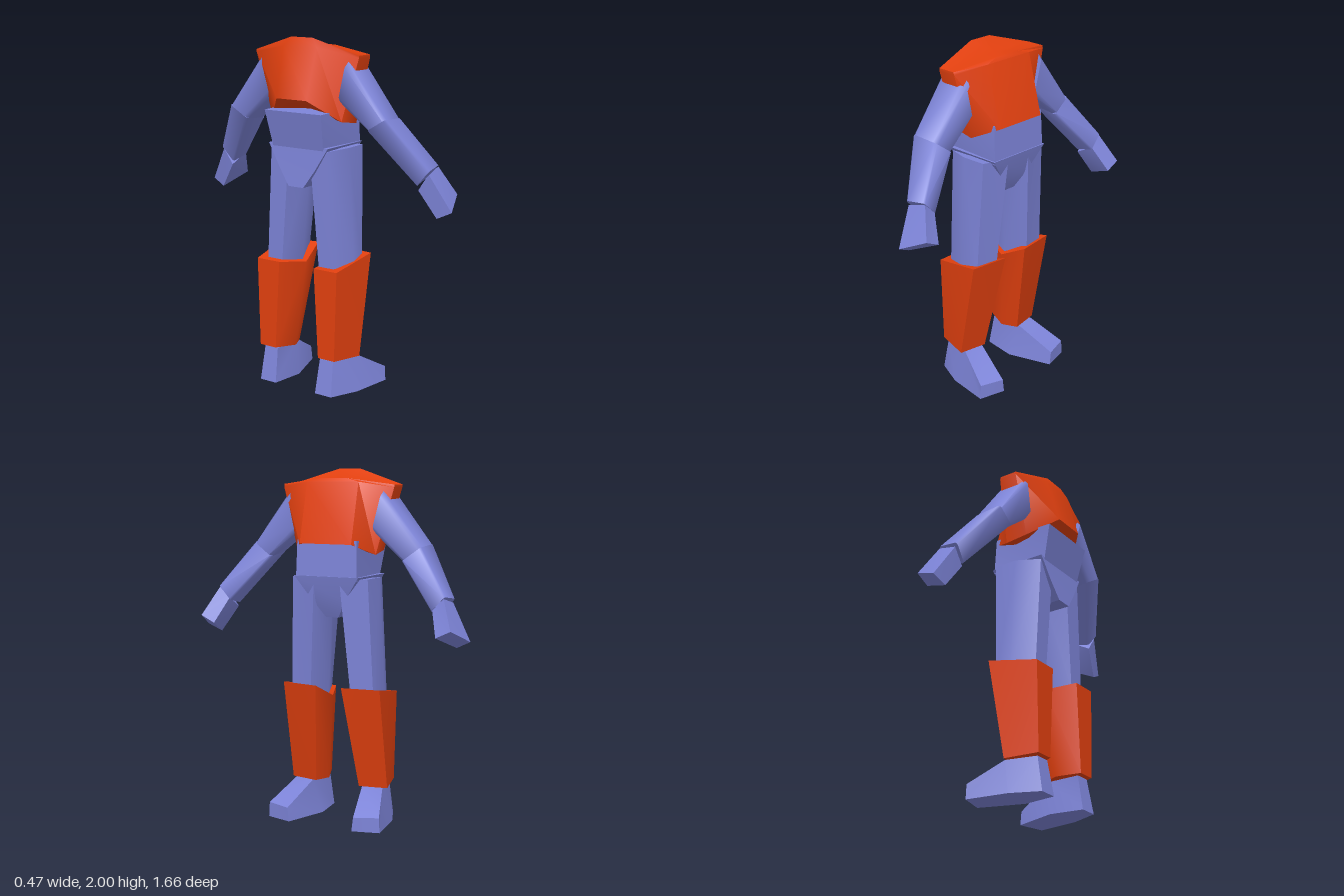
import * as THREE from 'three';
import { toCreasedNormals } from 'three/addons/utils/BufferGeometryUtils.js';

// Closed solid through rings of equal point count; the winding is corrected by signed volume
function loft(rings, crease = 0.95) {
  const n = rings[0].length;
  const pos = rings.flat(2);
  const idx = [];
  for (let r = 0; r < rings.length - 1; r++)
    for (let i = 0; i < n; i++) {
      const a = r * n + i, b = r * n + (i + 1) % n;
      idx.push(a, b, a + n, b, b + n, a + n);
    }
  [0, rings.length - 1].forEach((r, end) => {
    const c = pos.length / 3;
    for (let k = 0; k < 3; k++) pos.push(rings[r].reduce((s, p) => s + p[k], 0) / n);
    for (let i = 0; i < n; i++) {
      const a = r * n + i, b = r * n + (i + 1) % n;
      if (end) idx.push(a, b, c); else idx.push(b, a, c);
    }
  });
  const v = i => new THREE.Vector3().fromArray(pos, i * 3);
  let volume = 0;
  for (let i = 0; i < idx.length; i += 3)
    volume += v(idx[i]).dot(v(idx[i + 1]).cross(v(idx[i + 2])));
  if (volume < 0) idx.reverse();
  const g = new THREE.BufferGeometry();
  g.setAttribute('position', new THREE.Float32BufferAttribute(pos, 3));
  g.setIndex(idx);
  return toCreasedNormals(g, crease);
}

// Cut each corner of a ring
const chamfer = (ring, t = 0.13) => ring.flatMap((p, i) => {
  const n = ring.length;
  const toward = q => p.map((c, k) => c + (q[k] - c) * t);
  return [toward(ring[(i + n - 1) % n]), toward(ring[(i + 1) % n])];
});

// Ring symmetric in z, from its +z half
const symmetric = half => [...half, ...half.map(([x, y, z]) => [x, y, -z]).reverse()];

export function createModel() {
  const model = new THREE.Group();
  model.name = 'armouredFigure';
  const orange = new THREE.MeshStandardMaterial({ name: 'orangeArmour', color: 0xe2400f });
  const blue = new THREE.MeshStandardMaterial({ name: 'blueSuit', color: 0x7d84d8 });
  const add = (name, rings, material, crease) => {
    const mesh = new THREE.Mesh(loft(rings, crease), material);
    mesh.name = name;
    model.add(mesh);
  };

  // Chest armour, wide at the shoulders
  add('chestArmour', [
    symmetric([[-0.24, 1.67, 0.1], [-0.1, 1.55, 0.235], [0.03, 1.53, 0.245], [0.165, 1.59, 0.16]]),
    symmetric([[-0.16, 1.95, 0.11], [-0.1, 1.9, 0.345], [0.01, 1.9, 0.345], [0.075, 1.93, 0.16]]),
    symmetric([[-0.14, 2.0, 0.07], [-0.1, 1.915, 0.345], [0.005, 1.915, 0.345], [0.06, 1.95, 0.08]]),
  ], orange);

  // Waist and pelvis
  add('waist', [
    symmetric([[-0.18, 1.39, 0.17], [0.155, 1.39, 0.19]]),
    symmetric([[-0.23, 1.6, 0.19], [0.145, 1.61, 0.185]]),
  ], blue);
  add('pelvis', [
    symmetric([[-0.2, 1.18, 0.05], [0.08, 1.175, 0.04]]),
    symmetric([[-0.19, 1.28, 0.12], [0.125, 1.27, 0.1]]),
    symmetric([[-0.18, 1.41, 0.2], [0.16, 1.41, 0.2]]),
  ], blue);

  // Limbs, mirrored across z
  for (const side of [1, -1]) {
    const label = side > 0 ? 'near' : 'far';
    const limb = (name, rings, material, crease) => add(
      label + name,
      rings.map(ring => ring.map(([x, y, z]) => [x, y, z * side])),
      material, crease);

    // Leg
    limb('Thigh', [
      [[-0.16, 0.7, 0.23], [-0.03, 0.7, 0.28], [0.08, 0.7, 0.26],
        [0.1, 0.7, 0.13], [-0.03, 0.7, 0.08], [-0.16, 0.7, 0.13]],
      [[-0.17, 1.39, 0.19], [-0.03, 1.4, 0.24], [0.11, 1.4, 0.235],
        [0.15, 1.39, 0.08], [0.0, 1.39, 0.035], [-0.17, 1.39, 0.07]],
    ], blue);
    limb('ShinArmour', [
      [[-0.2, 0.21, 0.26], [-0.01, 0.2, 0.305], [0.02, 0.2, 0.14],
        [-0.07, 0.2, 0.1], [-0.2, 0.21, 0.15]],
      [[-0.2, 0.73, 0.275], [0.1, 0.785, 0.305], [0.13, 0.785, 0.08],
        [-0.03, 0.705, 0.053], [-0.2, 0.73, 0.12]],
    ], orange);
    limb('Foot', [
      [[-0.215, 0, 0.25], [-0.18, 0.2, 0.24], [-0.18, 0.2, 0.15], [-0.215, 0, 0.14]],
      [[-0.05, 0, 0.32], [0.0, 0.2, 0.28], [0.02, 0.2, 0.16], [-0.02, 0, 0.115]],
      [[0.195, 0, 0.355], [0.195, 0.085, 0.35], [0.235, 0.08, 0.21], [0.235, 0, 0.2]],
    ], blue);

    // Arm
    const elbow = [[-0.125, 1.59, 0.525], [0.05, 1.58, 0.52], [0.055, 1.5, 0.41], [-0.12, 1.52, 0.41]];
    limb('UpperArm', [
      chamfer([[-0.145, 1.88, 0.29], [0.055, 1.88, 0.29], [0.055, 1.66, 0.23], [-0.13, 1.66, 0.23]]),
      chamfer(elbow),
    ], blue);
    limb('Forearm', [
      chamfer(elbow, 0.08),
      chamfer([[0.02, 1.31, 0.715], [0.15, 1.33, 0.705], [0.155, 1.25, 0.63], [0.03, 1.22, 0.635]], 0.08),
    ], blue);
    limb('Hand', [
      [[0.035, 1.29, 0.71], [0.15, 1.32, 0.7], [0.15, 1.26, 0.635], [0.035, 1.2, 0.645]],
      [[0.08, 1.09, 0.828], [0.235, 1.16, 0.775], [0.235, 1.12, 0.69], [0.065, 1.05, 0.745]],
    ], blue);
  }
  return model;
}
